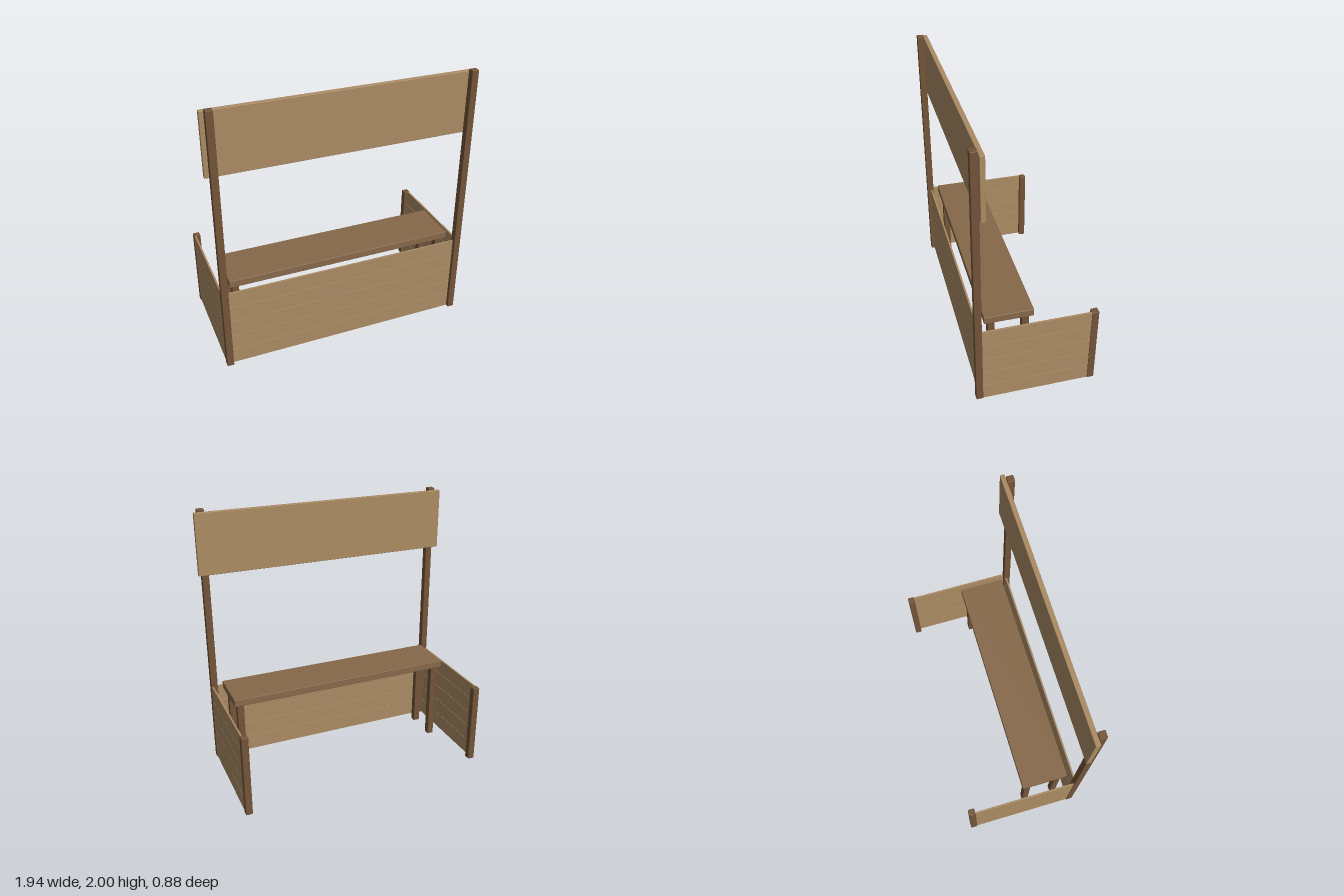
import * as THREE from 'three';
import { RoundedBoxGeometry } from 'three/addons/geometries/RoundedBoxGeometry.js';

const darkWood = new THREE.MeshStandardMaterial({ color: 0x735439 });
const midWood = new THREE.MeshStandardMaterial({ color: 0x866849 });
const lightWood = new THREE.MeshStandardMaterial({ color: 0xab8b63 });

export function createModel() {
  const model = new THREE.Group();
  model.name = 'marketStall';

  // Board with slightly eased edges, placed by the centre of its underside
  function board(name, material, w, h, d, x, y, z, ease = 0.004) {
    const mesh = new THREE.Mesh(new RoundedBoxGeometry(w, h, d, 1, ease), material);
    mesh.name = name;
    mesh.position.set(x, y + h / 2, z);
    model.add(mesh);
  }

  const wallHeight = 0.625, post = 0.05, postX = 0.915, postZ = 0.413;

  for (const side of [-1, 1]) {
    const label = side > 0 ? 'left' : 'right';

    // Tall front posts and short rear posts
    board(label + 'FrontPost', darkWood, post, 2, post, side * postX, 0, postZ);
    board(label + 'RearPost', darkWood, post, wallHeight, post, side * postX, 0, -postZ);

    // Counter legs
    board(label + 'FrontLeg', darkWood, post, wallHeight, post, side * 0.81, 0, 0.3);
    board(label + 'RearLeg', darkWood, post, wallHeight, post, side * 0.81, 0, 0.058);
  }

  // Horizontal wall planks, running from post to post
  const count = 5, pitch = wallHeight / count, gap = 0.002, thickness = 0.013;
  for (let i = 0; i < count; i++) {
    const y = i * pitch + gap / 2, h = pitch - gap;
    board('frontPlank', lightWood, 2 * postX - post, h, thickness, 0, y, 0.405, 0.001);
    for (const side of [-1, 1]) {
      board('sidePlank', lightWood, thickness, h, 2 * postZ - post, side * 0.928, y, 0, 0.001);
    }
  }

  // Counter top
  board('counterTop', midWood, 1.72, 0.055, 0.35, 0, wallHeight, 0.18);

  // Blank sign board behind the front posts
  board('signBoard', lightWood, 1.94, 0.455, 0.034, 0, 1.53, 0.371);

  return model;
}
